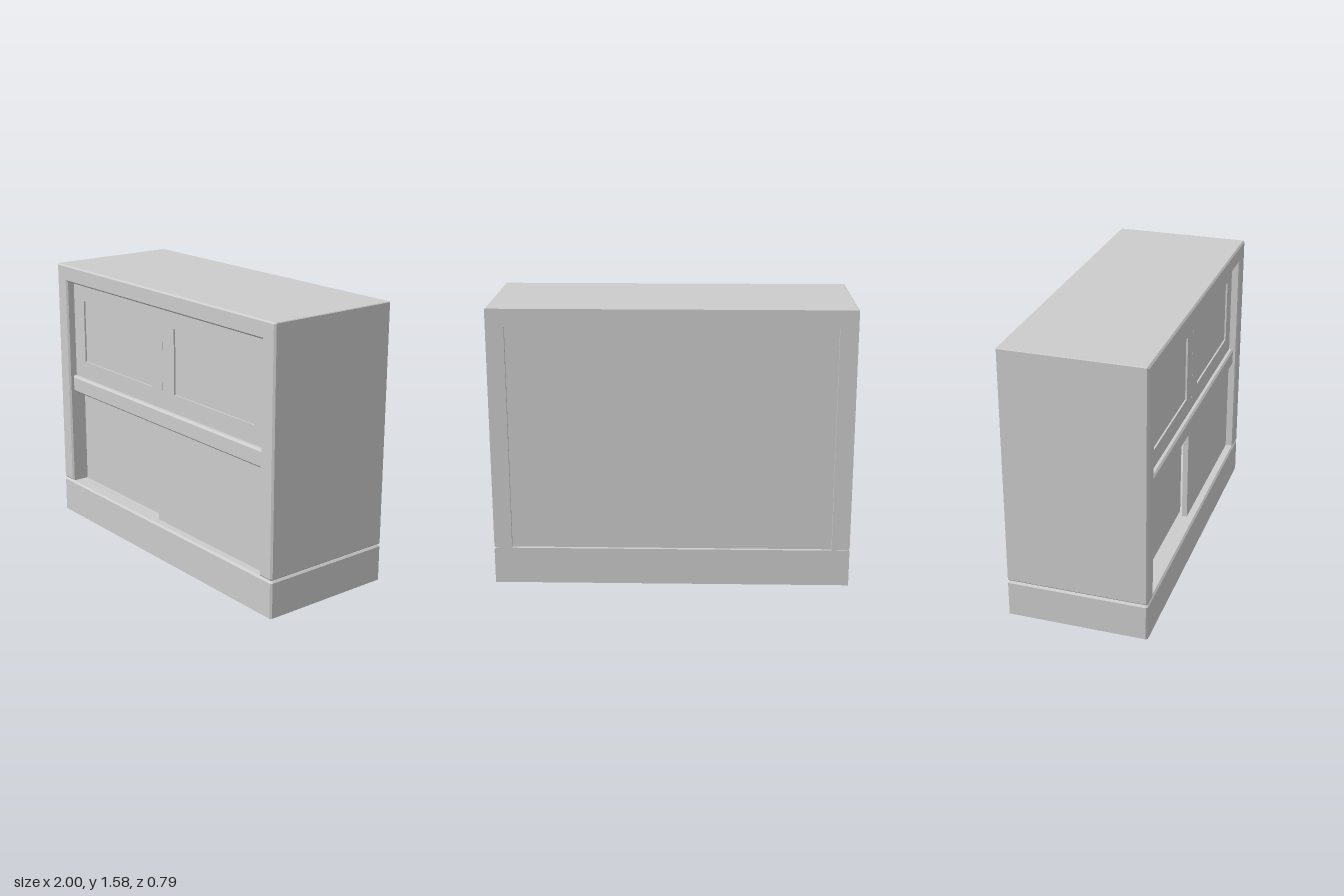
import * as THREE from 'three';

export function createModel() {
  const model = new THREE.Group();
  const grey = new THREE.MeshStandardMaterial({ color: 0xcccccc, side: THREE.DoubleSide });
  grey.name = 'plain grey';
  const BACK = -0.395, FRONT = 0.395, C = 0.01; // C is the chamfer width

  const add = (name, geometry, parent = model) => {
    const mesh = new THREE.Mesh(geometry, grey);
    mesh.name = name;
    parent.add(mesh);
    return mesh;
  };
  const outline = (points) => new THREE.Shape(points.map(([x, y]) => new THREE.Vector2(x, y)));
  const slab = (shape, z0, z1) =>
    new THREE.ExtrudeGeometry(shape, { depth: z1 - z0, bevelEnabled: false }).translate(0, 0, z0);
  const box = (x0, x1, y0, y1, z0, z1) =>
    new THREE.BoxGeometry(x1 - x0, y1 - y0, z1 - z0)
      .translate((x0 + x1) / 2, (y0 + y1) / 2, (z0 + z1) / 2);

  // Solid with a square back and a chamfered front rim
  const chamferedFront = (name, shape, z0, z1) => {
    const group = new THREE.Group();
    group.name = name;
    add(name + 'Body', slab(shape, z0, z1 - C), group);
    const rim = new THREE.ExtrudeGeometry(shape, {
      depth: 0.002, bevelThickness: C, bevelSize: C, bevelOffset: -C, bevelSegments: 1,
    }).translate(0, 0, z1 - C - 0.002);
    add(name + 'Rim', rim, group);
    model.add(group);
  };

  // Plinth: thin shell, open underneath, chamfered along the front and sides
  const loop = (y, inset) => {
    const x = 1 - inset, z = FRONT - inset;
    return [[-x, y, BACK], [-x, y, z - C], [-x + C, y, z], [x - C, y, z], [x, y, z - C], [x, y, BACK]];
  };
  const loops = [loop(0, 0), loop(0.2, 0), loop(0.21, C)];
  const corners = [];
  for (let k = 0; k < 2; k++) {
    for (let i = 0; i < 6; i++) {
      const j = (i + 1) % 6;
      const [a, b, c, d] = [loops[k][i], loops[k][j], loops[k + 1][j], loops[k + 1][i]];
      corners.push(...a, ...b, ...c, ...a, ...c, ...d);
    }
  }
  const top = loops[2];
  for (let i = 1; i < 5; i++) corners.push(...top[0], ...top[i], ...top[i + 1]);
  const plinth = new THREE.BufferGeometry();
  plinth.setAttribute('position', new THREE.Float32BufferAttribute(corners, 3));
  plinth.computeVertexNormals();
  add('plinth', plinth);

  // Carcass: two uprights joined by the top board
  const low = 0.212, high = 1.58;
  chamferedFront('carcass', outline([
    [-0.99, low], [-0.9, low], [-0.9, 1.48], [0.9, 1.48], [0.9, low], [0.99, low],
    [1, low + C], [1, high - 0.004], [0.996, high], [-0.996, high], [-1, high - 0.004], [-1, low + C],
  ]), BACK, FRONT);

  // Back panel, set slightly into the carcass
  add('backPanel', box(-0.9, 0.9, 0.21, 1.48, -0.375, -0.35));

  // Middle rail between the upper and lower doors
  chamferedFront('middleRail', outline([[-0.9, 0.795], [0.9, 0.795], [0.9, 0.895], [-0.9, 0.895]]), -0.35, 0.372);

  // Lower sliding doors on two tracks
  add('lowerRearDoor', box(-0.9, 0, 0.21, 0.795, 0.26, 0.29));
  add('lowerFrontDoor', box(-0.052, 0.9, 0.21, 0.795, 0.315, 0.345));

  // Upper doors, each with a shallow sunken field
  for (const side of [-1, 1]) {
    const door = new THREE.Group();
    door.name = side < 0 ? 'upperRightDoor' : 'upperLeftDoor';
    const mid = side * 0.45;
    const rect = (w, y0, y1) => [[mid - w, y0], [mid + w, y0], [mid + w, y1], [mid - w, y1]];
    const frame = outline(rect(0.4495, 0.895, 1.48));
    frame.holes.push(outline(rect(0.343, 1.0, 1.375)));
    add('doorFrame', slab(frame, 0.315, 0.345), door);
    add('doorField', box(mid - 0.345, mid + 0.345, 0.998, 1.377, 0.317, 0.335), door);
    model.add(door);
  }

  return model;
}
